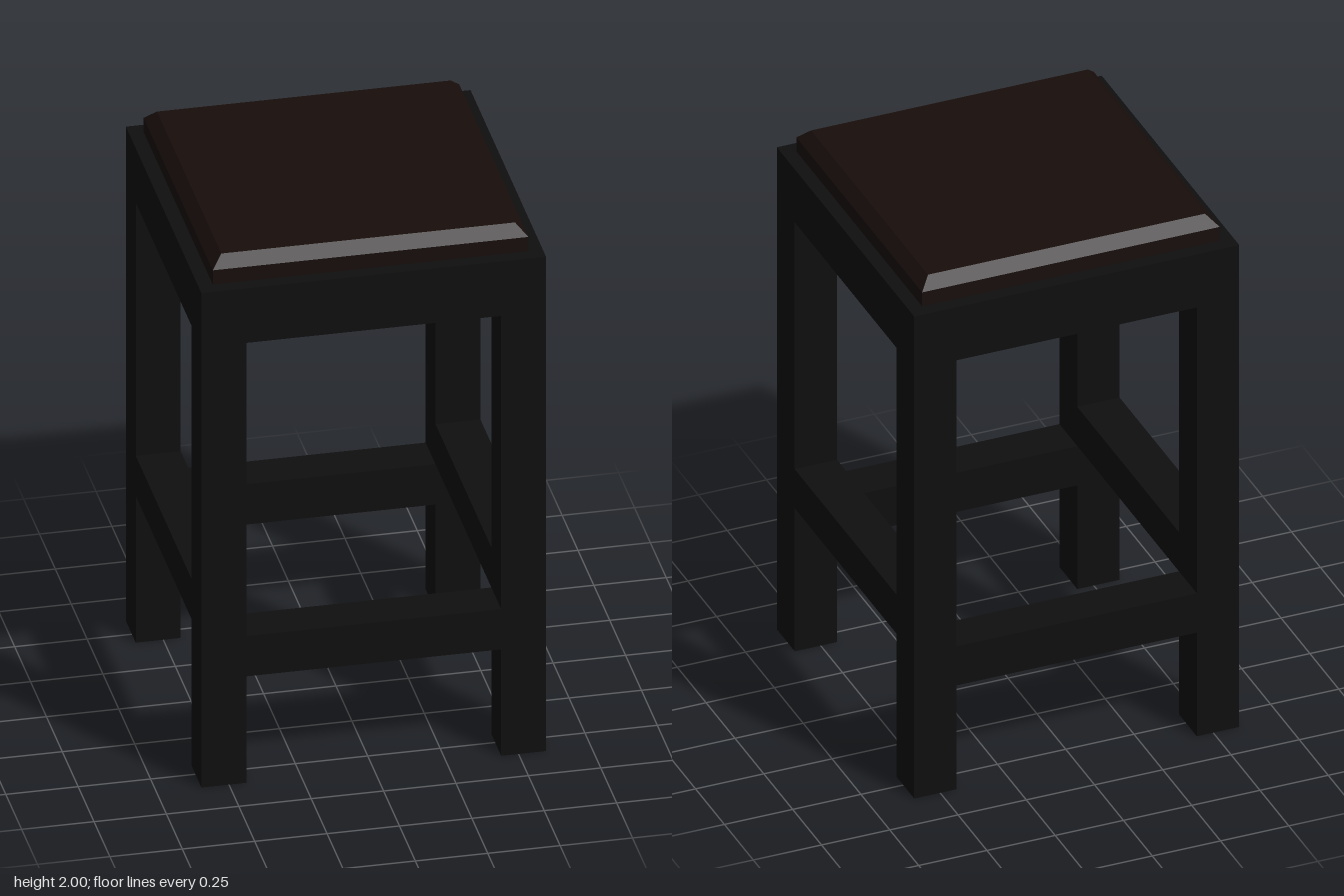
import * as THREE from 'three';

const HALF = 0.595;          // half width of the frame
const POST = 0.155;          // square section of legs and rails
const OFF = HALF - POST / 2; // centre line of legs and rails
const SPAN = 2 * (HALF - POST);
const APRON_BOTTOM = 1.695, APRON_TOP = 1.905;

export function createModel() {
  const group = new THREE.Group();
  const wood = new THREE.MeshStandardMaterial({ color: 0x0f0f0f });
  const leather = new THREE.MeshStandardMaterial({ color: 0x180e0c, flatShading: true });

  // box standing on height y0
  const box = (name, w, y0, y1, d, x, z) => {
    const mesh = new THREE.Mesh(new THREE.BoxGeometry(w, y1 - y0, d), wood);
    mesh.name = name;
    mesh.position.set(x, (y0 + y1) / 2, z);
    group.add(mesh);
  };

  for (const s of [-1, 1]) {
    const side = s > 0 ? 'left' : 'right', end = s > 0 ? 'front' : 'back';
    // legs
    box(side + 'FrontLeg', POST, 0, APRON_BOTTOM, POST, s * OFF, OFF);
    box(side + 'BackLeg', POST, 0, APRON_BOTTOM, POST, s * OFF, -OFF);
    // footrests: low at front and back, one step higher at the sides
    box(end + 'Footrest', SPAN, 0.41, 0.565, POST, 0, s * OFF);
    box(side + 'Footrest', POST, 0.565, 0.72, SPAN, s * OFF, 0);
  }

  // solid seat frame
  box('seatFrame', 2 * HALF, APRON_BOTTOM, APRON_TOP, 2 * HALF, 0, 0);

  // square cushion with a chamfered top edge
  const profile = [[0, APRON_TOP], [0.545, APRON_TOP], [0.545, 1.96], [0.507, 2], [0, 2]]
    .map(([r, y]) => new THREE.Vector2(r * Math.SQRT2, y));
  const cushion = new THREE.Mesh(new THREE.LatheGeometry(profile, 4, Math.PI / 4), leather);
  cushion.name = 'seatCushion';
  group.add(cushion);

  return group;
}
